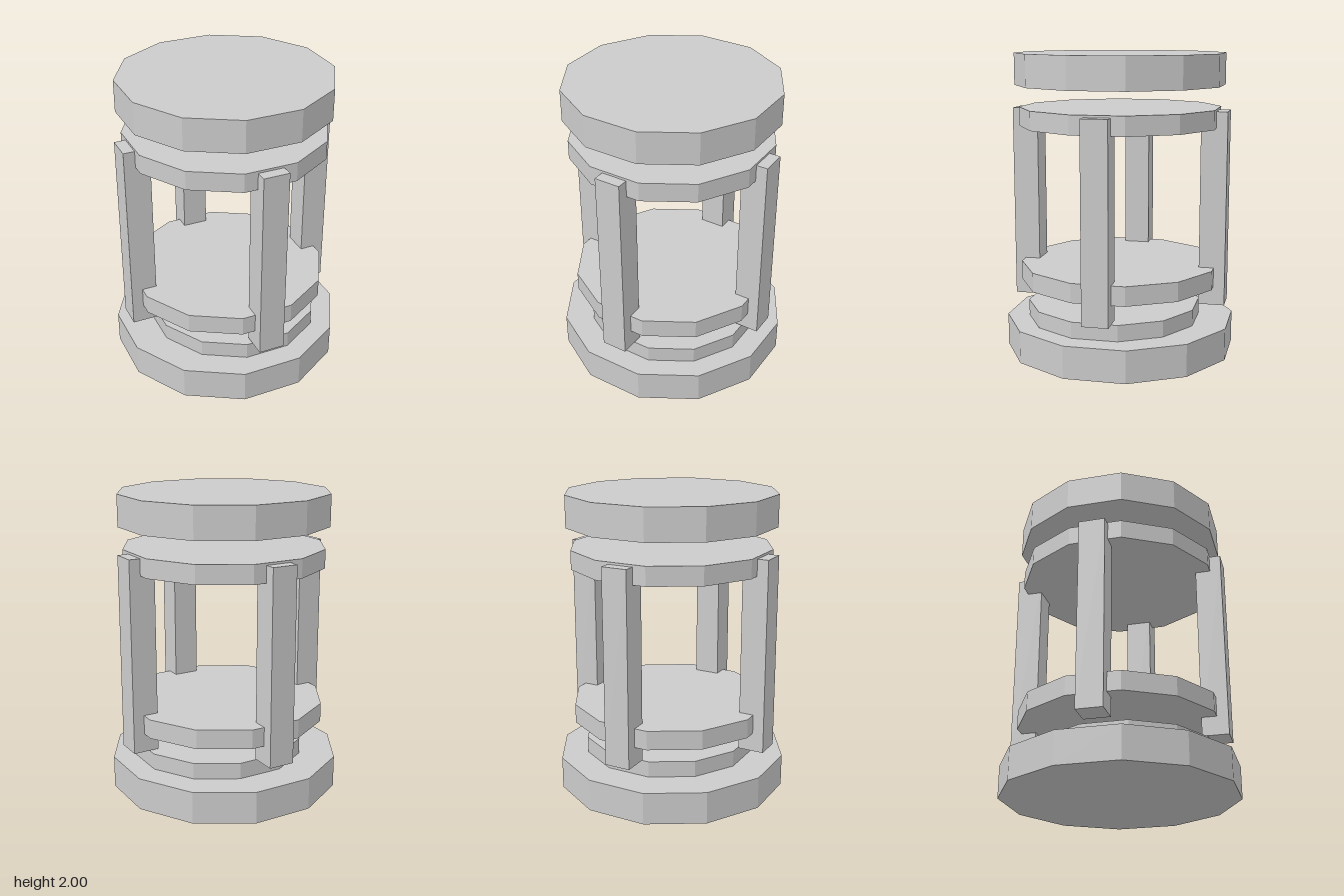
import * as THREE from 'three';

const SIDES = 12;

export function createModel() {
  const model = new THREE.Group();
  const material = new THREE.MeshStandardMaterial({ color: 0xcccccc, flatShading: true });

  const add = (name, geometry, x, y, z) => {
    const mesh = new THREE.Mesh(geometry, material);
    mesh.name = name;
    mesh.position.set(x, y, z);
    model.add(mesh);
    return mesh;
  };

  // Twelve-sided slab between two heights
  const disc = (name, radius, bottom, top, x = 0) =>
    add(name, new THREE.CylinderGeometry(radius, radius, top - bottom, SIDES), x, (bottom + top) / 2, 0);

  disc('base', 0.777, 0, 0.215);
  disc('baseStep', 0.585, 0.215, 0.323, 0.05); // sits slightly off centre
  disc('lowerRing', 0.675, 0.465, 0.593);
  disc('upperRing', 0.675, 1.52, 1.645);
  disc('cap', 0.702, 1.79, 2);

  // Four square posts on the diagonals, let into both rings
  const bottom = 0.34, top = 1.63, width = 0.173, reach = 0.64;
  const postGeometry = new THREE.BoxGeometry(width, top - bottom, width);
  for (let i = 0; i < 4; i++) {
    const angle = Math.PI / 4 + (i * Math.PI) / 2;
    const post = add('post' + (i + 1), postGeometry,
      Math.sin(angle) * reach, (bottom + top) / 2, Math.cos(angle) * reach);
    post.rotation.y = angle;
  }

  return model;
}
